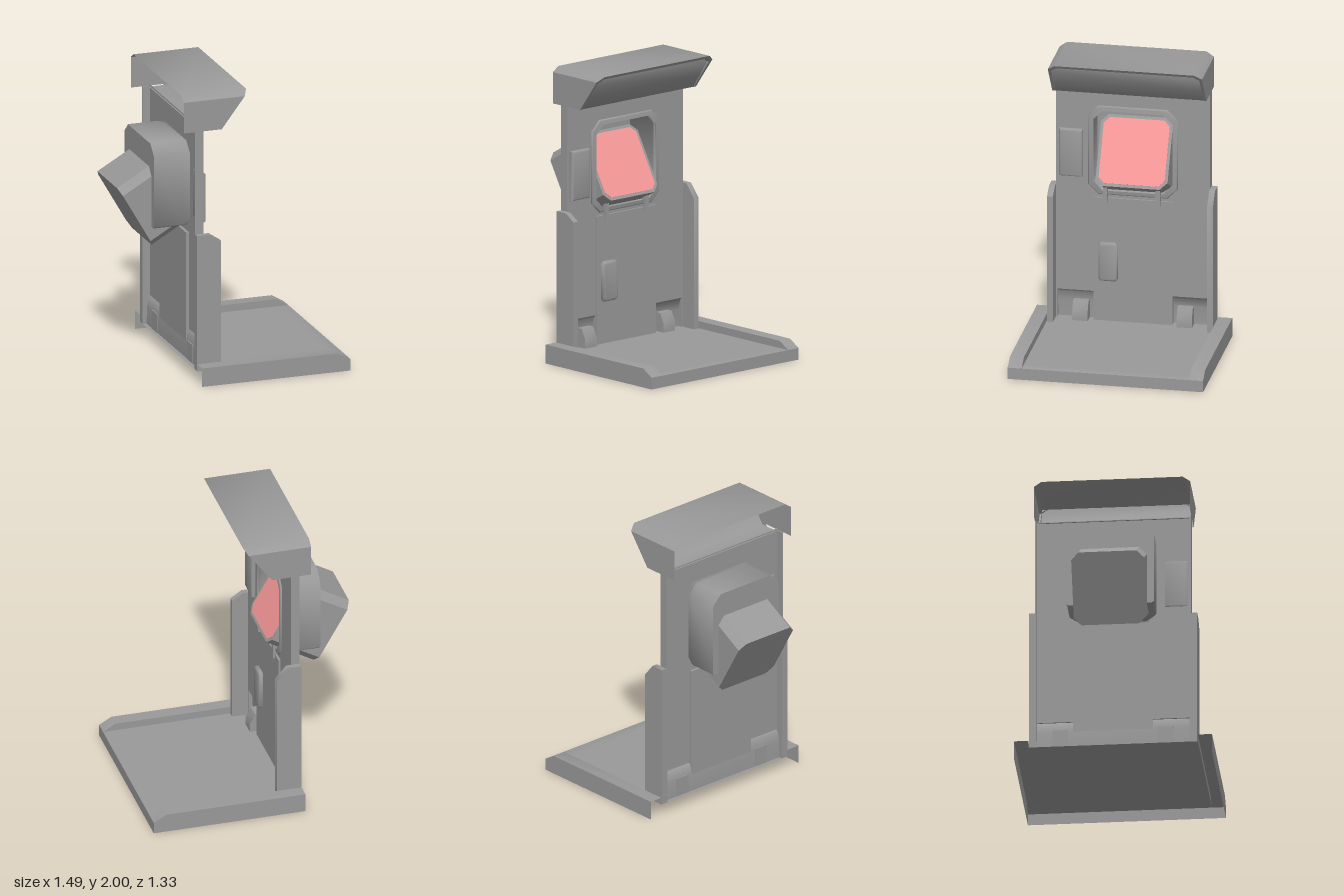
import * as THREE from 'three';
import { toCreasedNormals } from 'three/addons/utils/BufferGeometryUtils.js';

const grey = new THREE.MeshStandardMaterial({ color: 0x999999, side: THREE.DoubleSide });
const pink = new THREE.MeshStandardMaterial({ color: 0xf59797 });
const SHARP = 0.1, SOFT = 0.95;

// Octagonal outline as [z, y] points; c chamfers the top corners, d the bottom ones
const oct = (w, y0, y1, c, d = c) => [
  [w, y0 + d], [w, y1 - c], [w - c, y1], [c - w, y1],
  [-w, y1 - c], [-w, y0 + d], [d - w, y0], [w - d, y0],
];
const rect = (z0, z1, y0, y1) => [[z0, y0], [z1, y0], [z1, y1], [z0, y1]];

// Extrudes a [z, y] outline along x from x0 to x1, optionally with a hole or bevel
function extrudeX(points, x0, x1, hole, bevel = 0) {
  const toV = (p) => new THREE.Vector2(-p[0], p[1]);
  const shape = new THREE.Shape(points.map(toV));
  if (hole) shape.holes.push(new THREE.Path(hole.map(toV)));
  return new THREE.ExtrudeGeometry(shape, {
    depth: x1 - x0 - bevel, bevelEnabled: bevel > 0, bevelSize: bevel,
    bevelThickness: bevel, bevelOffset: -bevel, bevelSegments: 2,
  }).rotateY(Math.PI / 2).translate(x0, 0, 0);
}

// Extrudes an [x, y] profile along z
function extrudeZ(points, z0, z1) {
  const shape = new THREE.Shape(points.map((p) => new THREE.Vector2(...p)));
  return new THREE.ExtrudeGeometry(shape, { depth: z1 - z0, bevelEnabled: false }).translate(0, 0, z0);
}

// Skin stretched over successive cross-sections of [x, y, z] points
function loft(sections, closed = false) {
  const v = [];
  for (let i = 0; i + 1 < sections.length; i++) {
    const a = sections[i], b = sections[i + 1], n = a.length;
    for (let j = 0; j < (closed ? n : n - 1); j++) {
      const k = (j + 1) % n;
      v.push(...a[j], ...b[j], ...b[k], ...a[j], ...b[k], ...a[k]);
    }
  }
  const g = new THREE.BufferGeometry();
  g.setAttribute('position', new THREE.Float32BufferAttribute(v, 3));
  return g;
}

// Sheet following an [x, y] profile, spanning -w..w in z
const sheet = (profile, w) => loft(profile.map(([x, y]) => [[x, y, w], [x, y, -w]]));

export function createModel() {
  const model = new THREE.Group();
  const add = (name, geometry, crease = SHARP, parent = model, material = grey) => {
    const mesh = new THREE.Mesh(toCreasedNormals(geometry, crease), material);
    mesh.name = name;
    parent.add(mesh);
  };

  // Platform: open-bottomed tray with raised side rails and sloped rail tips
  const tray = (x, top) => [
    [0, 0.665], [top, 0.665], [top, 0.57], [0.08, 0.57],
    [0.08, -0.57], [top, -0.57], [top, -0.665], [0, -0.665],
  ].map(([y, z]) => [x, y, z]);
  add('platform', loft([tray(-0.31, 0.13), tray(0.66, 0.13), tray(0.745, 0.08)]), SOFT);
  add('platformFront', sheet([[0.745, 0], [0.745, 0.08]], 0.665));

  // Side posts, the rear one slightly taller
  for (const [z0, z1, top] of [[0.525, 0.565, 1.03], [-0.565, -0.525, 1.07]]) {
    add('sidePost', extrudeZ([[-0.31, 0.08], [-0.14, 0.08], [-0.14, 0.98], [-0.215, top], [-0.31, top]], z0, z1), SOFT);
  }

  // Upright panel with a window, side flanges and a tucked-in toe
  const opening = oct(0.28, 1.0, 1.59, 0.07);
  add('panel', extrudeX(rect(0.525, -0.525, 0.28, 1.76), -0.26, -0.25, opening));
  for (const z of [0.515, -0.525]) add('panelFlange', extrudeX(rect(z, z + 0.01, 0.08, 1.75), -0.31, -0.25));
  add('panelToe', sheet([[-0.25, 0.28], [-0.268, 0.262], [-0.28, 0.2], [-0.282, 0.08]], 0.52), SOFT);

  // Service door, handle, hinges and clips
  add('door', extrudeX(rect(0.265, -0.27, 0.08, 0.96), -0.28, -0.235));
  add('doorHandle', extrudeX(oct(0.066, 0.37, 0.645, 0.018), -0.24, -0.205, null, 0.015).translate(0, 0, 0.165), SOFT);
  for (const z of [0.3, -0.41]) {
    add('hinge', extrudeZ([[-0.285, 0.08], [-0.2, 0.08], [-0.2, 0.14], [-0.235, 0.21], [-0.285, 0.21]], z, z + 0.105), SOFT);
  }
  for (const z of [0.185, -0.175]) {
    add('clip', extrudeX(rect(z - 0.015, z + 0.015, 0.93, 1.04), -0.25, -0.22));
  }

  // Small box beside the window
  add('sideBox', extrudeX(rect(0.5, 0.34, 1.1, 1.44), -0.25, -0.22, null, 0.015), SOFT);

  // Window collar and the housing behind it
  add('windowCollar', extrudeX(oct(0.305, 0.98, 1.615, 0.07), -0.25, -0.238, opening, 0.01), SOFT);
  const ring = (x, points) => points.map(([z, y]) => [x, y, z]);
  const housing = oct(0.293, 1.02, 1.6, 0.07, 0.012);
  add('housing', loft([
    ring(-0.25, opening), ring(-0.31, housing), ring(-0.52, housing),
    housing.map(() => [-0.52, 1.31, 0]),
  ], true), SOFT);

  // Tilted display pushed through the housing
  const display = new THREE.Group();
  display.name = 'display';
  display.position.set(-0.295, 1.28, 0);
  display.rotation.z = Math.PI / 6;
  model.add(display);
  add('displayCase', extrudeX(oct(0.245, -0.245, 0.245, 0.05), -0.38, 0), SHARP, display);
  add('screen', extrudeX(oct(0.225, -0.225, 0.225, 0.04), -0.01, 0.003), SHARP, display, pink);

  // Hood: open at the back, with a thin rim around a recessed rounded face
  const slopeX = (y) => -0.12 + (y - 1.75) * 0.76;
  const hood = [[0.525, 1.75], [0.525, 1.965], [0.475, 2], [-0.475, 2], [-0.525, 1.965], [-0.525, 1.75]];
  const inner = [[0.505, 1.75], [0.505, 1.95], [0.465, 1.98], [-0.465, 1.98], [-0.505, 1.95], [-0.505, 1.75]];
  const front = (points, inset) => points.map(([z, y]) => [slopeX(y) - inset, y, z]);
  add('hood', loft([ring(-0.39, hood), front(hood, 0)]), SOFT);
  add('hoodRim', loft([front(hood, 0), front(inner, 0), front(inner, 0.05)]));
  add('hoodFace', sheet([[0.01, 1.98], [0, 1.93], [-0.06, 1.84], [-0.125, 1.75], [-0.27, 1.75]], 0.505), SOFT);

  return model;
}
